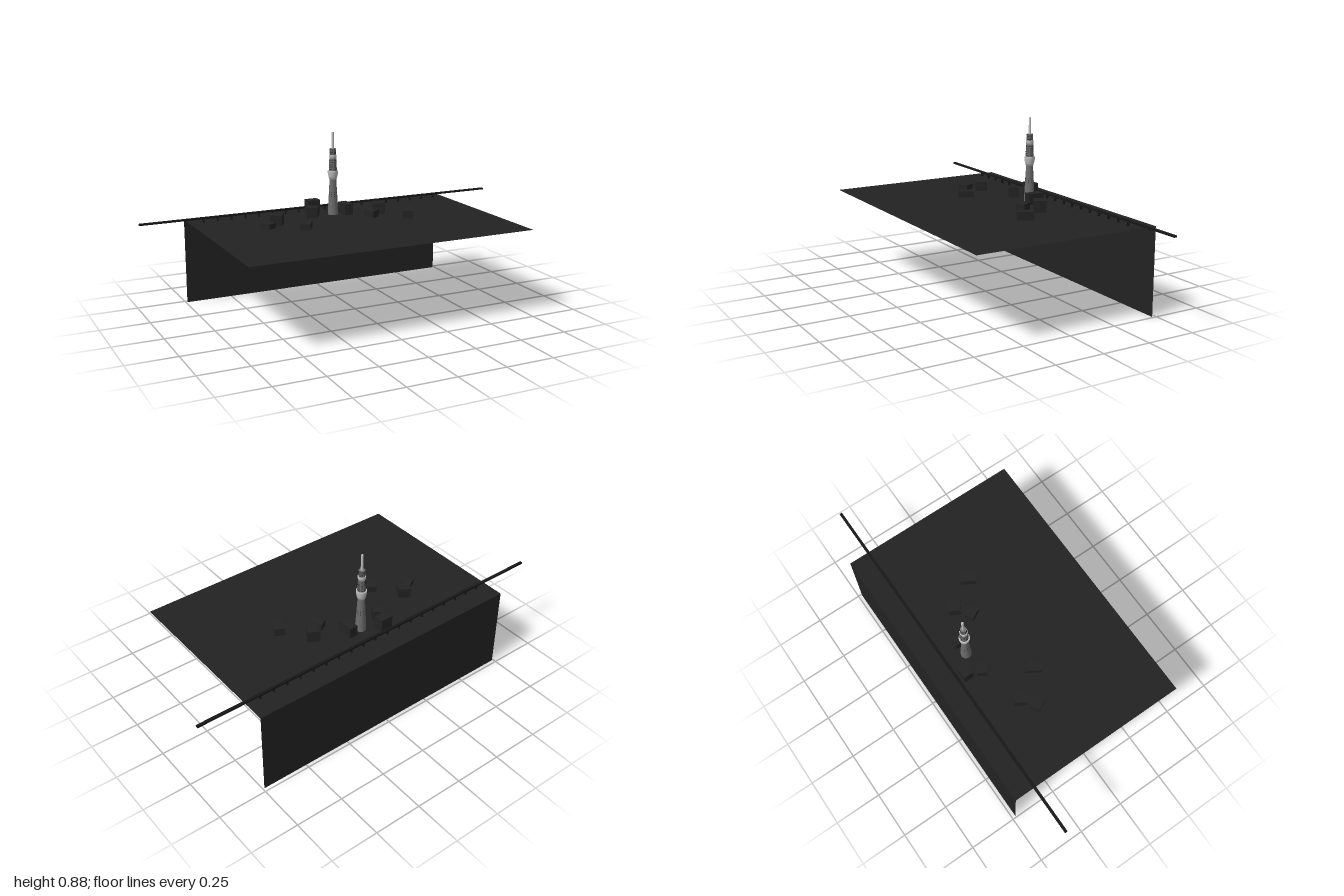
import * as THREE from 'three';

const mat = (name, color, side = THREE.FrontSide) => {
  const m = new THREE.MeshStandardMaterial({ color, side });
  m.name = name;
  return m;
};

export function createModel() {
  const root = new THREE.Group();
  const asphalt = mat('asphalt', 0x222222, THREE.DoubleSide);
  const block = mat('buildingGrey', 0x232323);
  const black = mat('railBlack', 0x171717);
  const steel = mat('towerGrey', 0x6b6b6b);
  const pale = mat('paleGrey', 0xbebebe);
  const GROUND = 0.445;

  const add = (parent, name, geometry, material, x = 0, y = 0, z = 0) => {
    const m = new THREE.Mesh(geometry, material);
    m.name = name;
    m.position.set(x, y, z);
    parent.add(m);
    return m;
  };

  // Ground sheet and the sheet hanging from its back edge
  add(root, 'ground', new THREE.PlaneGeometry(1.484, 0.962), asphalt, 0, GROUND, 0).rotation.x = -Math.PI / 2;
  add(root, 'backWall', new THREE.PlaneGeometry(1.484, GROUND), asphalt, 0, GROUND / 2, -0.481);

  // Elevated track on posts
  const track = new THREE.Group();
  track.name = 'track';
  root.add(track);
  add(track, 'trackBeam', new THREE.BoxGeometry(2, 0.009, 0.014), black, 0, 0.4685, -0.375);
  for (let i = -9; i <= 9; i++) {
    add(track, 'trackPost', new THREE.BoxGeometry(0.006, 0.024, 0.012), black, i * 0.0745, 0.454, -0.375);
  }

  // City blocks: x, z, width, depth, bottom, top, turn in degrees
  const city = new THREE.Group();
  city.name = 'cityBlocks';
  root.add(city);
  const building = (x, z, w, d, y0, y1, turn) => {
    const m = add(city, 'building', new THREE.BoxGeometry(w, y1 - y0, d), block, x, (y0 + y1) / 2, z);
    m.rotation.y = THREE.MathUtils.degToRad(turn);
  };
  building(-0.09, -0.327, 0.066, 0.052, 0.442, 0.518, 0);
  building(-0.123, -0.247, 0.055, 0.055, 0.442, 0.499, -32);
  building(0.066, -0.25, 0.045, 0.084, 0.442, 0.501, 0);
  // The same trio stands on both sides, slightly lower at -x
  for (const [dx, dy] of [[0, 0], [-0.574, -0.009]]) {
    building(0.225 + dx, -0.18, 0.061, 0.061, 0.427 + dy, 0.505 + dy, -30);
    building(0.155 + dx, -0.125, 0.05, 0.06, 0.427 + dy, 0.48 + dy, 30);
    building(0.321 + dx, -0.033, 0.052, 0.082, 0.427 + dy, 0.486 + dy, -30);
  }

  // Tower, turned from profiles of [radius, height]
  const tower = new THREE.Group();
  tower.name = 'tower';
  tower.position.z = -0.263;
  root.add(tower);
  const turned = (name, material, points) =>
    add(tower, name, new THREE.LatheGeometry(points.map(p => new THREE.Vector2(...p)), 24), material);
  turned('mainShaft', steel, [[0.028, 0.442], [0.025, 0.5], [0.021, 0.57], [0.0175, 0.632]]);
  turned('lowerPod', pale, [[0, 0.63], [0.019, 0.63], [0.023, 0.645], [0.027, 0.664],
    [0.027, 0.677], [0.027, 0.677], [0, 0.677]]);
  turned('upperShaft', steel, [[0.021, 0.677], [0.018, 0.739]]);
  turned('upperPod', pale, [[0, 0.738], [0.017, 0.738], [0.02, 0.75], [0.02, 0.76], [0.02, 0.76], [0, 0.76]]);
  turned('crown', steel, [[0.016, 0.76], [0.0155, 0.793], [0.0155, 0.793], [0, 0.793]]);
  turned('antenna', pale, [[0.0065, 0.793], [0.006, 0.878], [0.006, 0.878], [0, 0.878]]);

  // Rows of small dark openings around the shafts
  const pane = new THREE.BoxGeometry(0.0025, 0.004, 0.001);
  const openings = (y, radius, count) => {
    for (let i = 0; i < count; i++) {
      const a = (i / count) * Math.PI * 2;
      add(tower, 'opening', pane, black, Math.sin(a) * radius, y, Math.cos(a) * radius).rotation.y = a;
    }
  };
  for (let i = 0; i < 6; i++) openings(0.684 + i * 0.0095, 0.0207 - i * 0.00045, 16);
  for (let i = 0; i < 4; i++) openings(0.766 + i * 0.0075, 0.0159, 16);
  for (let i = 0; i < 3; i++) openings(0.543 + i * 0.01, 0.0226 - i * 0.0006, 8);

  return root;
}
